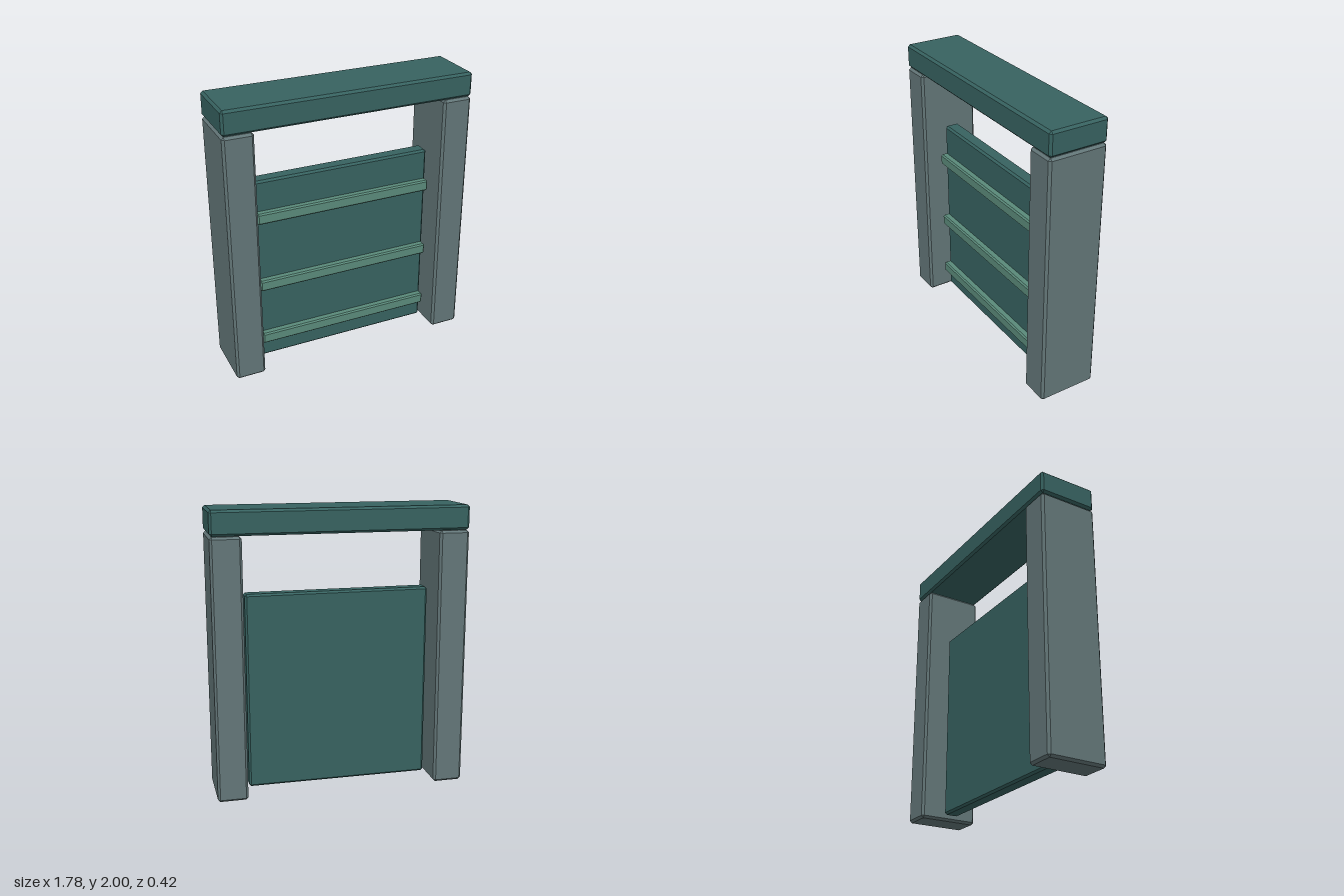
import * as THREE from 'three';
import { ConvexGeometry } from 'three/addons/geometries/ConvexGeometry.js';

// Box with every edge and corner chamfered by c
function chamferBox(w, h, d, c) {
  const half = [w / 2, h / 2, d / 2];
  const points = [];
  for (const sx of [-1, 1]) for (const sy of [-1, 1]) for (const sz of [-1, 1]) {
    for (let face = 0; face < 3; face++) {
      const p = half.map((v, axis) => (axis === face ? v : v - c));
      points.push(new THREE.Vector3(sx * p[0], sy * p[1], sz * p[2]));
    }
  }
  return new ConvexGeometry(points);
}

export function createModel() {
  const group = new THREE.Group();
  const stone = new THREE.MeshStandardMaterial({ color: 0x637678 });
  const teal = new THREE.MeshStandardMaterial({ color: 0x376260 });
  const green = new THREE.MeshStandardMaterial({ color: 0x5a8a7a });

  // Adds a chamfered block spanning the given ranges
  function block(name, material, [x0, x1], [y0, y1], [z0, z1], chamfer) {
    const mesh = new THREE.Mesh(chamferBox(x1 - x0, y1 - y0, z1 - z0, chamfer), material);
    mesh.position.set((x0 + x1) / 2, (y0 + y1) / 2, (z0 + z1) / 2);
    mesh.name = name;
    group.add(mesh);
  }

  // Frame: two posts and the beam resting on them
  const depth = [-0.212, 0.212];
  block('leftPost', stone, [0.677, 0.888], [0, 1.827], depth, 0.016);
  block('rightPost', stone, [-0.888, -0.677], [0, 1.827], depth, 0.016);
  block('lintel', teal, [-0.888, 0.888], [1.83, 2], depth, 0.016);

  // Door panel hanging between the posts
  block('doorPanel', teal, [-0.648, 0.648], [0.03, 1.417], [-0.053, 0.053], 0.014);

  // Raised slats across the front of the panel
  [0.203, 0.638, 1.158].forEach((y, i) => {
    block(`slat${i + 1}`, green, [-0.645, 0.645], [y - 0.04, y + 0.04], [0.03, 0.1], 0.01);
  });

  return group;
}
